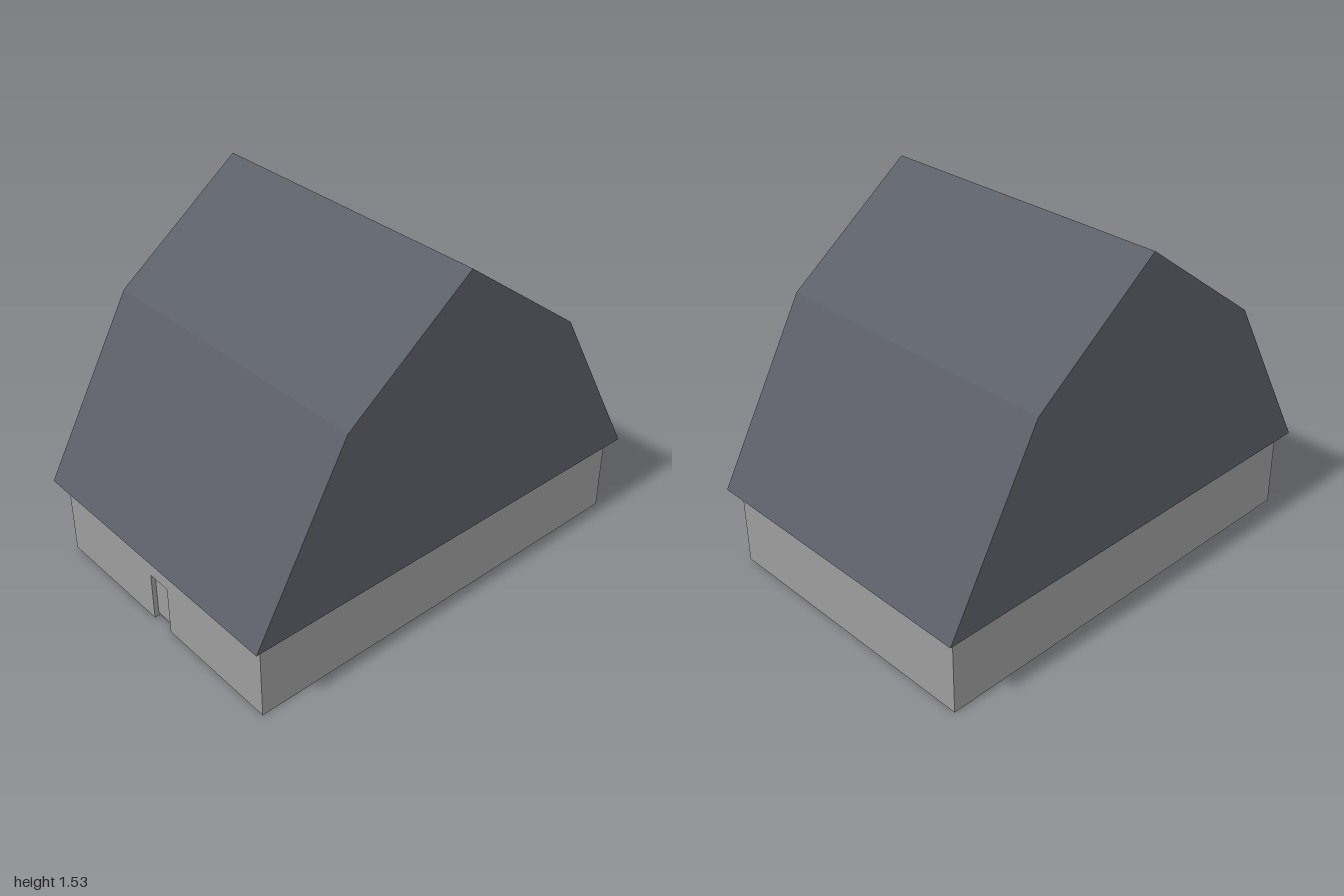
import * as THREE from 'three';

const wallMat = new THREE.MeshStandardMaterial({ color: 0x9b9c9b });
wallMat.name = 'grey wall';
const roofMat = new THREE.MeshStandardMaterial({ color: 0x5b5f67 });
roofMat.name = 'slate roof';

const EAVE = 0.355, HALF_W = 0.64, HALF_D = 0.955, RECESS = 0.025;
const DOOR_W = 0.055, DOOR_H = 0.222;

// Flat outline extruded along z
function extrude(points, depth) {
  const shape = new THREE.Shape(points.map(([x, y]) => new THREE.Vector2(x, y)));
  return new THREE.ExtrudeGeometry(shape, { depth, bevelEnabled: false });
}

export function createModel() {
  const group = new THREE.Group();
  const add = (name, geometry, material) => {
    const mesh = new THREE.Mesh(geometry, material);
    mesh.name = name;
    group.add(mesh);
    return mesh;
  };

  // Main wall block, stopping just behind the front wall
  const body = add('walls', new THREE.BoxGeometry(HALF_W * 2, EAVE, HALF_D * 2 - RECESS), wallMat);
  body.position.set(0, EAVE / 2, -RECESS / 2);

  // Front wall with the doorway cut down to the ground
  const front = add('frontWall', extrude([
    [-HALF_W, 0], [-DOOR_W, 0], [-DOOR_W, DOOR_H], [DOOR_W, DOOR_H],
    [DOOR_W, 0], [HALF_W, 0], [HALF_W, EAVE], [-HALF_W, EAVE],
  ], RECESS), wallMat);
  front.position.z = HALF_D - RECESS;

  // Door panel set back in the opening, raised above the threshold
  const door = add('door', new THREE.BoxGeometry(DOOR_W * 2, DOOR_H - 0.015, 0.005), wallMat);
  door.position.set(0, (DOOR_H + 0.015) / 2, HALF_D - RECESS + 0.0025);

  // Gambrel roof with closed gables and overhanging eaves
  const roofGeo = extrude([
    [-1, EAVE], [1, EAVE], [0.575, 1.105], [0, 1.535], [-0.575, 1.105],
  ], 1.36);
  roofGeo.translate(0, 0, -0.68).rotateY(Math.PI / 2);
  add('roof', roofGeo, roofMat);

  return group;
}
